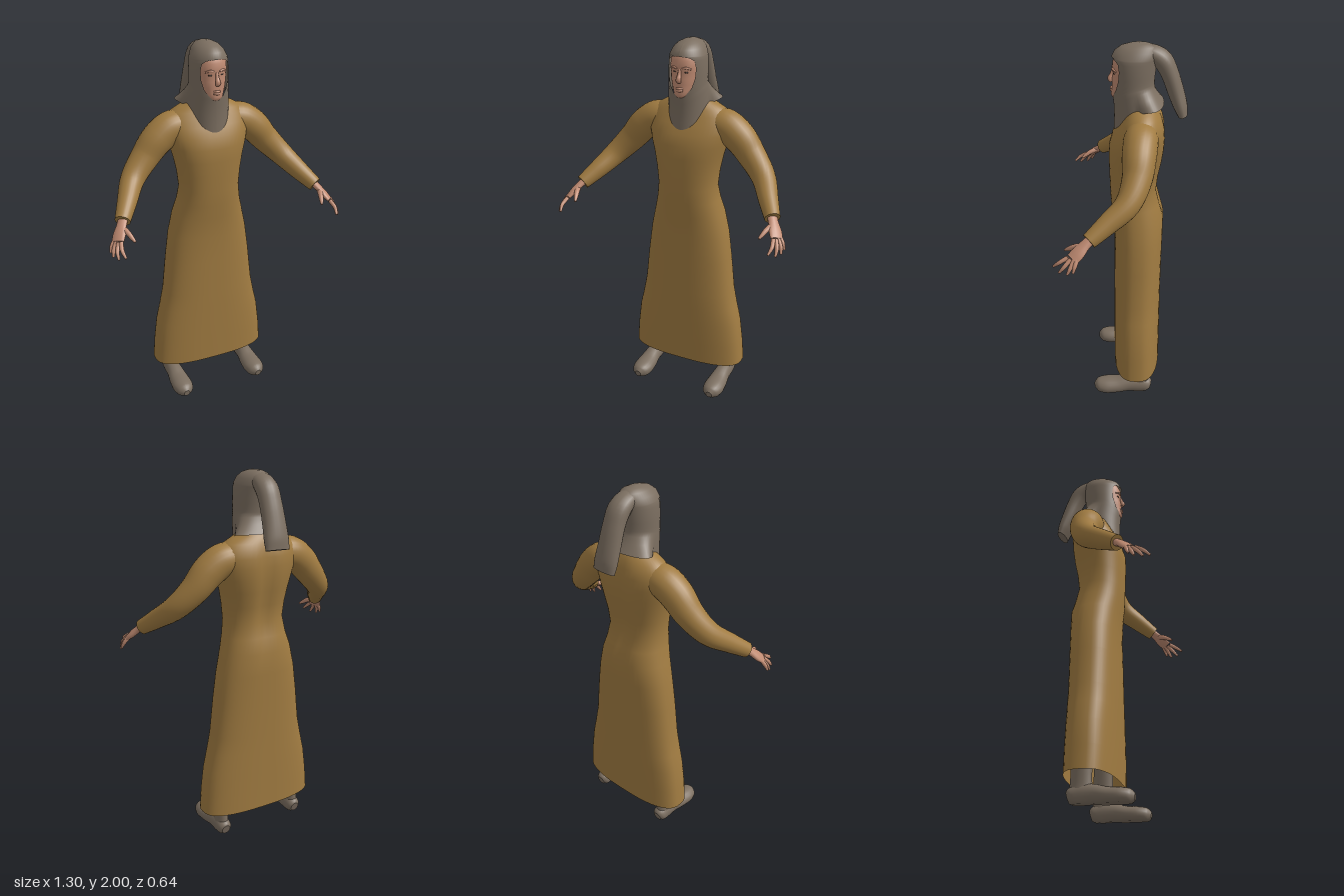
import * as THREE from 'three';

const mat = (name, color, side = THREE.FrontSide) => {
  const m = new THREE.MeshStandardMaterial({ color, side });
  m.name = name;
  return m;
};

// Skin a list of rings; each ring runs counter-clockwise about the direction of travel
function loft(rings, { closed = true, capStart = false, capEnd = false } = {}) {
  const n = rings[0].length, pos = [], idx = [];
  rings.forEach(r => r.forEach(p => pos.push(p.x, p.y, p.z)));
  const wrap = closed ? n : n - 1;
  for (let i = 0; i < rings.length - 1; i++) {
    for (let j = 0; j < wrap; j++) {
      const a = i * n + j, b = i * n + (j + 1) % n;
      idx.push(a, b, b + n, a, b + n, a + n);
    }
  }
  const cap = (ring, flip) => {
    const c = ring.reduce((s, p) => s.add(p), new THREE.Vector3()).divideScalar(n);
    const base = pos.length / 3;
    [c, ...ring].forEach(p => pos.push(p.x, p.y, p.z));
    for (let j = 0; j < n; j++) {
      const a = base + 1 + j, b = base + 1 + (j + 1) % n;
      idx.push(base, flip ? b : a, flip ? a : b);
    }
  };
  if (capStart) cap(rings[0], true);
  if (capEnd) cap(rings[rings.length - 1], false);
  const g = new THREE.BufferGeometry();
  g.setAttribute('position', new THREE.Float32BufferAttribute(pos, 3));
  g.setIndex(idx);
  g.computeVertexNormals();
  return g;
}

// Elliptical tube through points [x, y, z, ra, rb]; ra lies along the ref direction
function tube(pts, ref, seg = 16, steps = 20, floor = -Infinity) {
  const path = new THREE.CatmullRomCurve3(pts.map(p => new THREE.Vector3(p[0], p[1], p[2])));
  const radii = new THREE.CatmullRomCurve3(pts.map(p => new THREE.Vector3(p[3], p[4] ?? p[3], 0)));
  const rings = [];
  for (let i = 0; i <= steps; i++) {
    const t = i / steps, c = path.getPoint(t), T = path.getTangent(t), r = radii.getPoint(t);
    const A = new THREE.Vector3(...ref).addScaledVector(T, -T.dot(new THREE.Vector3(...ref))).normalize();
    const B = new THREE.Vector3().crossVectors(T, A);
    rings.push(Array.from({ length: seg }, (_, j) => {
      const a = j / seg * Math.PI * 2;
      const p = c.clone().addScaledVector(A, Math.cos(a) * r.x).addScaledVector(B, Math.sin(a) * r.y);
      p.y = Math.max(p.y, floor);
      return p;
    }));
  }
  return loft(rings, { capStart: true, capEnd: true });
}

// Horizontal superellipse ring from front depth zf to back depth zb, with an optional spine groove
function flatRing(y, rx, zf, zb, power = 2, groove = 0, seg = 48) {
  const e = 2 / power, mid = (zf + zb) / 2, rz = (zf - zb) / 2;
  return Array.from({ length: seg }, (_, j) => {
    const a = j / seg * Math.PI * 2, s = Math.sin(a), c = Math.cos(a);
    const x = rx * Math.sign(s) * Math.abs(s) ** e;
    let z = mid + rz * Math.sign(c) * Math.abs(c) ** e;
    if (c < 0) z += groove * Math.exp(-((x / 0.04) ** 2));
    return new THREE.Vector3(x, y, z);
  });
}

export function createModel() {
  const model = new THREE.Group();
  model.name = 'robedFigure';
  const cloth = mat('ochre cloth', 0xa07b41, THREE.DoubleSide);
  const wool = mat('grey brown wool', 0x7b6e60, THREE.DoubleSide);
  const skin = mat('skin', 0xc08b72);
  const dark = mat('dark brown', 0x4a3a30);
  const add = (name, geo, m, parent = model) => {
    const mesh = new THREE.Mesh(geo, m);
    mesh.name = name;
    parent.add(mesh);
    return mesh;
  };

  // Robe body: height, half width, front, back, squareness, groove
  add('robe', loft([
    [0.145, 0.338, 0.055, -0.205, 2.7, 0], [0.27, 0.328, 0.056, -0.205, 2.7, 0],
    [0.4, 0.312, 0.056, -0.205, 2.6, 0], [0.5, 0.288, 0.056, -0.205, 2.6, 0],
    [0.6, 0.268, 0.056, -0.205, 2.5, 0], [0.8, 0.245, 0.054, -0.207, 2.5, 0],
    [0.95, 0.225, 0.053, -0.21, 2.4, 0], [1.07, 0.198, 0.062, -0.213, 2.3, 0.004],
    [1.15, 0.176, 0.072, -0.192, 2.3, 0.01], [1.23, 0.164, 0.076, -0.174, 2.3, 0.014],
    [1.32, 0.173, 0.079, -0.184, 2.3, 0.016], [1.4, 0.188, 0.081, -0.2, 2.3, 0.016],
    [1.47, 0.207, 0.079, -0.209, 2.3, 0.016], [1.53, 0.222, 0.062, -0.211, 2.3, 0.014],
    [1.58, 0.226, 0.036, -0.207, 2.3, 0.012], [1.62, 0.215, 0.015, -0.197, 2.2, 0.008],
    [1.65, 0.19, 0, -0.183, 2.1, 0.004], [1.675, 0.145, -0.012, -0.17, 2, 0],
    [1.695, 0.1, -0.02, -0.155, 2, 0], [1.715, 0.07, -0.022, -0.145, 2, 0],
    [1.75, 0.06, -0.022, -0.142, 2, 0],
  ].map(r => flatRing(...r))), cloth);

  // Neck and face
  add('neck', loft([[1.7, 0.05, -0.02, -0.125], [1.8, 0.05, 0, -0.125]].map(r => flatRing(...r))), skin);
  const face = new THREE.Group();
  face.name = 'face';
  model.add(face);
  add('head', loft([
    [1.718, 0.022, 0.048, -0.04], [1.727, 0.038, 0.062, -0.06], [1.742, 0.05, 0.068, -0.08],
    [1.758, 0.058, 0.064, -0.09], [1.79, 0.068, 0.062, -0.1], [1.82, 0.074, 0.062, -0.11],
    [1.85, 0.077, 0.056, -0.11], [1.872, 0.078, 0.062, -0.11], [1.91, 0.076, 0.058, -0.11],
    [1.94, 0.065, 0.045, -0.1], [1.96, 0.045, 0.02, -0.08],
  ].map(r => flatRing(...r, 2.2, 0, 32)), { capStart: true, capEnd: true }), skin, face);
  add('nose', tube([[0, 1.868, 0.056, 0.007], [0, 1.84, 0.064, 0.009], [0, 1.818, 0.072, 0.014, 0.013],
    [0, 1.804, 0.066, 0.012, 0.008]], [1, 0, 0], 12, 10), skin, face);
  [1.772, 1.761].forEach((y, i) => add(i ? 'lowerLip' : 'upperLip', tube([[-0.024, y, 0.054, 0.003],
    [0, y, 0.066, 0.007], [0.024, y, 0.054, 0.003]], [0, 1, 0], 8, 10), skin, face));
  for (const s of [-1, 1]) {
    add('brow', tube([[s * 0.014, 1.872, 0.061, 0.004], [s * 0.034, 1.876, 0.056, 0.006],
      [s * 0.056, 1.868, 0.04, 0.004]], [0, 1, 0], 8, 8), skin, face);
    const eye = add('eye', new THREE.SphereGeometry(1, 12, 8), dark, face);
    eye.scale.set(0.011, 0.0045, 0.004);
    eye.position.set(s * 0.033, 1.853, 0.049);
    eye.rotation.y = s * 0.45;
  }

  // Hood shell: front height, back height, half width, front, back, face opening half width, flare
  const hoodRows = [
    [1.555, 1.7, 0.11, 0.054, -0.2, 0, 1.15], [1.59, 1.72, 0.109, 0.053, -0.185, 0, 0.8],
    [1.63, 1.745, 0.107, 0.052, -0.168, 0, 0.4], [1.69, 1.775, 0.104, 0.054, -0.152, 0, 0.1],
    [1.726, 1.79, 0.102, 0.058, -0.15, 0, 0], [1.738, 1.8, 0.101, 0.06, -0.15, 0.034, 0],
    [1.765, 1.815, 0.1, 0.06, -0.15, 0.058, 0], [1.815, 1.84, 0.1, 0.06, -0.152, 0.071, 0],
    [1.87, 1.875, 0.099, 0.061, -0.156, 0.074, 0], [1.908, 1.908, 0.096, 0.063, -0.16, 0.068, 0],
    [1.924, 1.924, 0.094, 0.064, -0.163, 0.05, 0], [1.931, 1.931, 0.092, 0.064, -0.165, 0, 0],
    [1.96, 1.96, 0.078, 0.05, -0.168, 0, 0], [1.983, 1.983, 0.058, 0.018, -0.155, 0, 0],
    [1.996, 1.996, 0.03, -0.025, -0.12, 0, 0], [2, 2, 0.002, -0.069, -0.072, 0, 0],
  ];
  add('hood', loft(hoodRows.map(([yf, yb, rx, zf, zb, open, flare]) => {
    const a0 = Math.asin(open / rx), seg = 48;
    return Array.from({ length: seg + 1 }, (_, j) => {
      const a = a0 + (2 * Math.PI - 2 * a0) * j / seg, s = Math.sin(a), c = Math.cos(a);
      const front = ((1 + c) / 2) ** 2.5;
      return new THREE.Vector3(rx * s * (1 + flare * Math.max(0, -c)),
        yb + (yf - yb) * front, (zf + zb) / 2 + c * (zf - zb) / 2);
    });
  }), { closed: false }), wool);

  // Hanging tail of the hood
  add('hoodTail', tube([
    [0, 1.95, -0.07, 0.045, 0.03], [0, 1.95, -0.13, 0.055, 0.042], [0, 1.915, -0.185, 0.06, 0.05],
    [0, 1.85, -0.222, 0.06, 0.045], [0, 1.75, -0.258, 0.064, 0.042], [0.002, 1.685, -0.28, 0.068, 0.037],
    [0.004, 1.635, -0.295, 0.066, 0.026],
  ], [1, 0, 0], 20, 28), wool);

  for (const s of [-1, 1]) {
    const side = s > 0 ? 'left' : 'right';
    const flip = pts => pts.map(([x, ...rest]) => [s * x, ...rest]);

    // Sleeve
    add(side + 'Sleeve', tube(flip([
      [0.1, 1.575, -0.09, 0.075], [0.2, 1.565, -0.086, 0.087], [0.275, 1.515, -0.08, 0.085],
      [0.345, 1.436, -0.072, 0.075], [0.432, 1.342, -0.028, 0.063], [0.498, 1.265, 0.07, 0.051],
      [0.55, 1.207, 0.15, 0.04],
    ]), [0, 1, 0.2], 24, 36), cloth);

    // Hand: palm, four fingers and thumb
    const hand = new THREE.Group();
    hand.name = side + 'Hand';
    model.add(hand);
    const across = [s * 0.3, 0.12, -0.9];
    add('palm', tube(flip([[0.54, 1.22, 0.135, 0.026, 0.02], [0.562, 1.193, 0.168, 0.028, 0.018],
      [0.585, 1.162, 0.2, 0.037, 0.017], [0.602, 1.138, 0.226, 0.036, 0.012]]), across, 14, 10), skin, hand);
    [
      [[0.592, 1.142, 0.247], [0.6, 1.118, 0.287], [0.592, 1.09, 0.32]],
      [[0.6, 1.138, 0.233], [0.618, 1.105, 0.264], [0.62, 1.073, 0.29]],
      [[0.606, 1.138, 0.217], [0.628, 1.103, 0.235], [0.636, 1.072, 0.25]],
      [[0.607, 1.144, 0.202], [0.63, 1.115, 0.212], [0.642, 1.085, 0.222]],
    ].forEach((f, i) => add('finger', tube(flip(f.map((p, k) => [...p, [0.0115, 0.0105, 0.006][k]])),
      across, 10, 8), skin, hand).name = ['indexFinger', 'middleFinger', 'ringFinger', 'littleFinger'][i]);
    add('thumb', tube(flip([[0.562, 1.185, 0.18, 0.016], [0.546, 1.172, 0.222, 0.014],
      [0.535, 1.155, 0.25, 0.011], [0.526, 1.142, 0.27, 0.006]]), across, 10, 8), skin, hand);

    // Shoe and boot shaft
    add(side + 'Shoe', tube(flip([
      [0.232, 0.035, -0.157, 0.025, 0.03], [0.232, 0.04, -0.14, 0.04, 0.045], [0.232, 0.045, -0.09, 0.044, 0.055],
      [0.232, 0.045, -0.03, 0.047, 0.05], [0.232, 0.035, 0.03, 0.056, 0.046], [0.232, 0.03, 0.09, 0.06, 0.046],
      [0.232, 0.028, 0.14, 0.048, 0.04], [0.232, 0.026, 0.166, 0.018, 0.018],
    ]), [1, 0, 0], 20, 24, 0), wool);
    add(side + 'Boot', tube(flip([
      [0.232, 0.04, -0.095, 0.042, 0.056], [0.232, 0.085, -0.094, 0.036, 0.055],
      [0.232, 0.15, -0.093, 0.034, 0.053], [0.225, 0.4, -0.088, 0.045, 0.055],
    ]), [1, 0, 0], 20, 12), wool);
  }
  return model;
}
